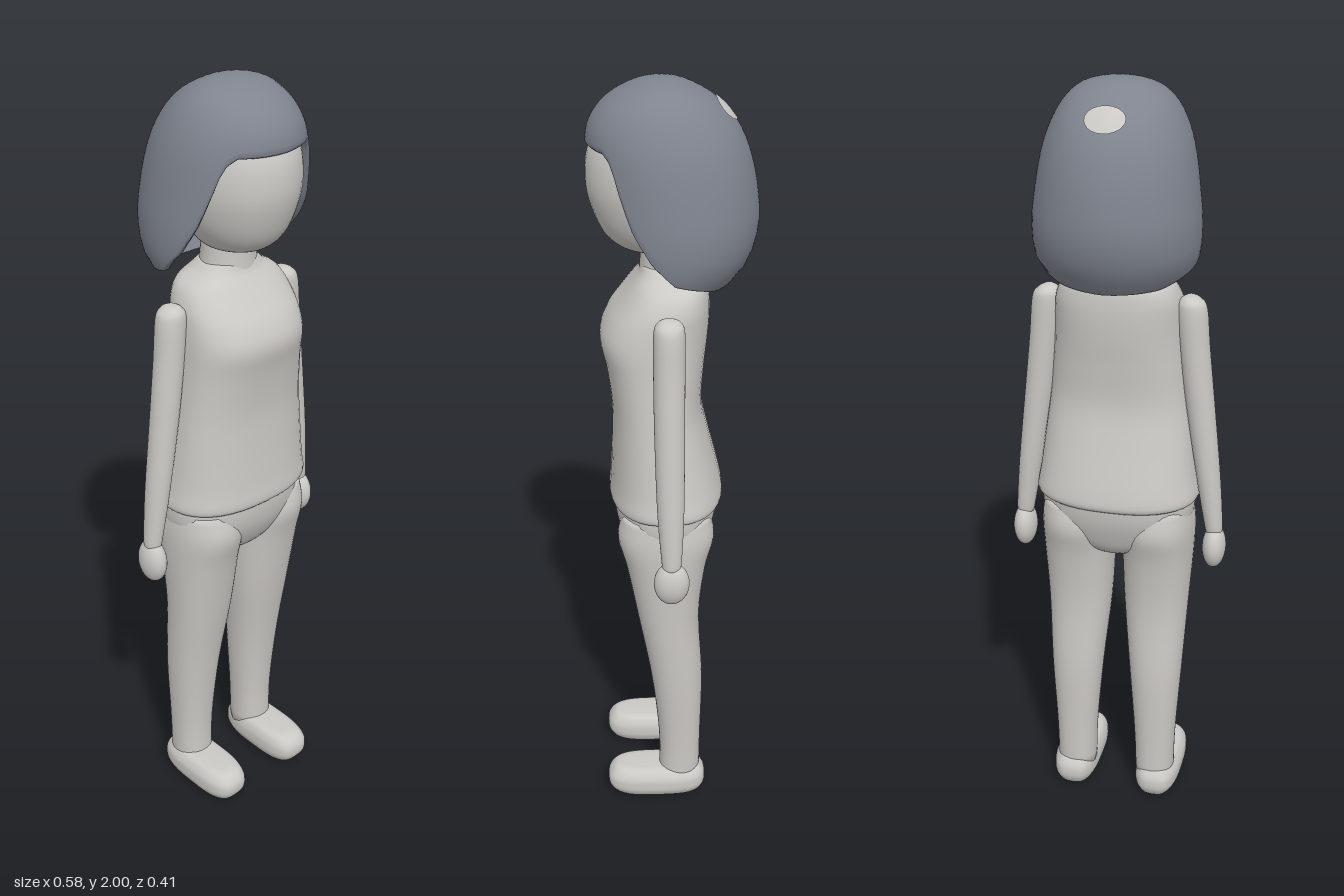
import * as THREE from 'three';

const skin = new THREE.MeshStandardMaterial({ color: 0xcbc9c5 });
skin.name = 'pale grey body';
const slate = new THREE.MeshStandardMaterial({ color: 0x7f848f });
slate.name = 'slate hair';

const SEGMENTS = 40;

// Closed rings of points, ordered top to bottom, joined into a smooth surface
function skinRows(rows) {
  const n = rows[0].length, index = [];
  for (let i = 0; i < rows.length - 1; i++) {
    for (let j = 0; j < n; j++) {
      const k = (j + 1) % n;
      const a = i * n + j, b = a + n, c = (i + 1) * n + k, d = i * n + k;
      index.push(a, b, c, a, c, d);
    }
  }
  const geometry = new THREE.BufferGeometry();
  geometry.setAttribute('position', new THREE.Float32BufferAttribute(rows.flat(2), 3));
  geometry.setIndex(index);
  geometry.computeVertexNormals();
  return geometry;
}

const smooth = (times, table) =>
  new THREE.CubicInterpolant(times, table.flat(), table[0].length, new Float32Array(table[0].length));

// Cross-section [y, xMin, xMax, zBack, zFront]; power above 2 squares it off
function section([y, x0, x1, z0, z1], power, shrink = 1) {
  const bend = v => Math.sign(v) * Math.abs(v) ** (2 / power);
  return Array.from({ length: SEGMENTS }, (_, j) => {
    const t = j / SEGMENTS * Math.PI * 2;
    return [
      (x0 + x1) / 2 + bend(Math.sin(t)) * (x1 - x0) / 2 * shrink, y,
      (z0 + z1) / 2 + bend(Math.cos(t)) * (z1 - z0) / 2 * shrink,
    ];
  });
}

function loft(table, power = 2, steps = 4) {
  const curve = smooth(table.map((_, i) => i), table);
  const last = table.length - 1;
  const rows = [section(table[0], power, 0)];
  for (let i = 0; i <= last * steps; i++) rows.push(section([...curve.evaluate(i / steps)], power));
  rows.push(section(table[last], power, 0));
  return skinRows(rows);
}

// Symmetric body sections: [y, halfWidth, back, front]
const centred = table => table.map(([y, w, b, f]) => [y, -w, w, b, f]);
// Sections for one side of the body, mirrored for the other
const sided = (table, side) => table.map(([y, a, b, z0, z1]) =>
  side > 0 ? [y, a, b, z0, z1] : [y, -b, -a, z0, z1]);

// Hair outline [y, halfWidth, back, front], sampled by depth below the crown
const HAIR = [
  [2.0, 0, 0.02, 0.02], [1.985, 0.085, -0.045, 0.1], [1.95, 0.13, -0.105, 0.16],
  [1.9, 0.16, -0.15, 0.195], [1.85, 0.178, -0.175, 0.203], [1.75, 0.196, -0.2, 0.203],
  [1.65, 0.205, -0.204, 0.195], [1.57, 0.194, -0.178, 0.18], [1.53, 0.165, -0.148, 0.155],
];
const hairCurve = smooth(HAIR.map(r => Math.sqrt(2 - r[0])), HAIR);
function hairPoint(depth, angle, shrink = 1, drop = 0) {
  const [, w, b, f] = hairCurve.evaluate(depth);
  return [
    Math.sin(angle) * w * shrink, 2 - depth * depth - drop,
    (b + f) / 2 + Math.cos(angle) * (f - b) / 2 * shrink,
  ];
}

// Height of the hair's lower edge by angle from the front, in degrees
const EDGE = [[0, 1.862], [38, 1.862], [47, 1.84], [54, 1.76], [61, 1.69], [72, 1.63], [90, 1.575], [130, 1.537], [180, 1.53]];
function edgeDepth(angle) {
  const deg = Math.abs(angle > Math.PI ? angle - 2 * Math.PI : angle) * 180 / Math.PI;
  const i = Math.max(1, EDGE.findIndex(e => e[0] >= deg - 1e-6));
  const [[d0, y0], [d1, y1]] = [EDGE[i - 1], EDGE[i]];
  return Math.sqrt(2 - (y0 + (y1 - y0) * (deg - d0) / (d1 - d0)));
}

function hairGeometry() {
  const n = 96, rows = [];
  const addRow = (v, shrink, drop) => rows.push(Array.from({ length: n }, (_, j) => {
    const t = j / n * Math.PI * 2;
    return hairPoint(edgeDepth(t) * v, t, shrink, drop);
  }));
  for (let i = 0; i <= 24; i++) addRow(i / 24, 1, 0);
  // rounded rim, then the inside of the shell
  addRow(1, 0.97, 0.006);
  addRow(1, 0.9, 0.006);
  addRow(1, 0.86, 0);
  for (let i = 11; i >= 4; i--) addRow(i / 12, 0.84, 0.02);
  return skinRows(rows);
}

// Small bare spot that follows the hair surface
function crownGeometry() {
  const rows = [0, 0.5, 1].map(r => Array.from({ length: 24 }, (_, j) => {
    const a = j / 24 * Math.PI * 2;
    const [x, y, z] = hairPoint(0.262 + 0.05 * r * Math.cos(a), Math.PI + 0.34 * r * Math.sin(a));
    return [x * 1.01, y + 0.003, z * 1.01];
  }));
  return skinRows(rows);
}

export function createModel() {
  const model = new THREE.Group();
  model.name = 'figure';
  const add = (name, geometry, material = skin) => {
    const mesh = new THREE.Mesh(geometry, material);
    mesh.name = name;
    model.add(mesh);
    return mesh;
  };

  add('head', loft(centred([
    [1.965, 0.03, -0.01, 0.06], [1.95, 0.07, -0.05, 0.1], [1.9, 0.122, -0.11, 0.16],
    [1.84, 0.143, -0.13, 0.197], [1.76, 0.147, -0.13, 0.204], [1.69, 0.132, -0.11, 0.187],
    [1.64, 0.107, -0.08, 0.163], [1.61, 0.08, -0.05, 0.13], [1.6, 0.05, -0.03, 0.1],
  ])));
  add('neck', loft(centred([
    [1.66, 0.07, -0.05, 0.08], [1.6, 0.07, -0.05, 0.078], [1.55, 0.074, -0.055, 0.08], [1.5, 0.085, -0.06, 0.085],
  ])));
  add('hair', hairGeometry(), slate);
  add('crownSpot', crownGeometry());

  // Shirt, ending in a slightly flared hem
  add('torso', loft(centred([
    [1.562, 0.07, -0.05, 0.075], [1.54, 0.095, -0.068, 0.083], [1.515, 0.135, -0.084, 0.1],
    [1.475, 0.156, -0.09, 0.13], [1.43, 0.163, -0.09, 0.162], [1.375, 0.167, -0.086, 0.18],
    [1.3, 0.172, -0.078, 0.166], [1.2, 0.181, -0.073, 0.154], [1.1, 0.193, -0.093, 0.155],
    [1.0, 0.205, -0.118, 0.16], [0.955, 0.213, -0.127, 0.164], [0.938, 0.211, -0.126, 0.162],
    [0.93, 0.2, -0.12, 0.155],
  ]), 2.4));
  add('hips', loft(centred([
    [0.96, 0.2, -0.12, 0.155], [0.9, 0.201, -0.114, 0.152], [0.85, 0.185, -0.1, 0.14],
    [0.8, 0.125, -0.078, 0.115], [0.77, 0.06, -0.045, 0.085], [0.76, 0.025, -0.01, 0.05],
  ]), 2.3));

  for (const side of [1, -1]) {
    const label = side > 0 ? 'left' : 'right';
    add(label + 'Leg', loft(sided([
      [0.92, 0.03, 0.195, -0.09, 0.13], [0.85, 0.012, 0.203, -0.103, 0.145], [0.76, 0.013, 0.201, -0.082, 0.124],
      [0.6, 0.02, 0.191, -0.066, 0.096], [0.4, 0.039, 0.181, -0.076, 0.062],
      [0.2, 0.055, 0.169, -0.072, 0.042], [0.06, 0.06, 0.166, -0.07, 0.042],
    ], side), 2.2));
    add(label + 'Foot', loft(sided([
      [0.096, 0.085, 0.15, -0.055, 0.14], [0.09, 0.068, 0.166, -0.07, 0.165], [0.07, 0.058, 0.179, -0.083, 0.182],
      [0.05, 0.056, 0.181, -0.086, 0.186], [0.03, 0.058, 0.179, -0.083, 0.182],
      [0.008, 0.07, 0.166, -0.07, 0.165], [0, 0.088, 0.15, -0.055, 0.14],
    ], side), 3));
    add(label + 'Arm', loft(sided([
      [1.484, 0.168, 0.192, 0, 0.03], [1.475, 0.155, 0.207, -0.015, 0.043], [1.45, 0.146, 0.222, -0.023, 0.052],
      [1.35, 0.155, 0.231, -0.023, 0.053], [1.2, 0.174, 0.247, -0.022, 0.052], [1.0, 0.206, 0.268, -0.02, 0.047],
      [0.87, 0.229, 0.278, -0.014, 0.038], [0.84, 0.235, 0.278, -0.01, 0.035],
    ], side)));
    const hand = add(label + 'Hand', new THREE.SphereGeometry(1, 28, 20));
    hand.scale.set(0.031, 0.06, 0.045);
    hand.position.set(side * 0.258, 0.797, 0.012);
  }
  return model;
}
